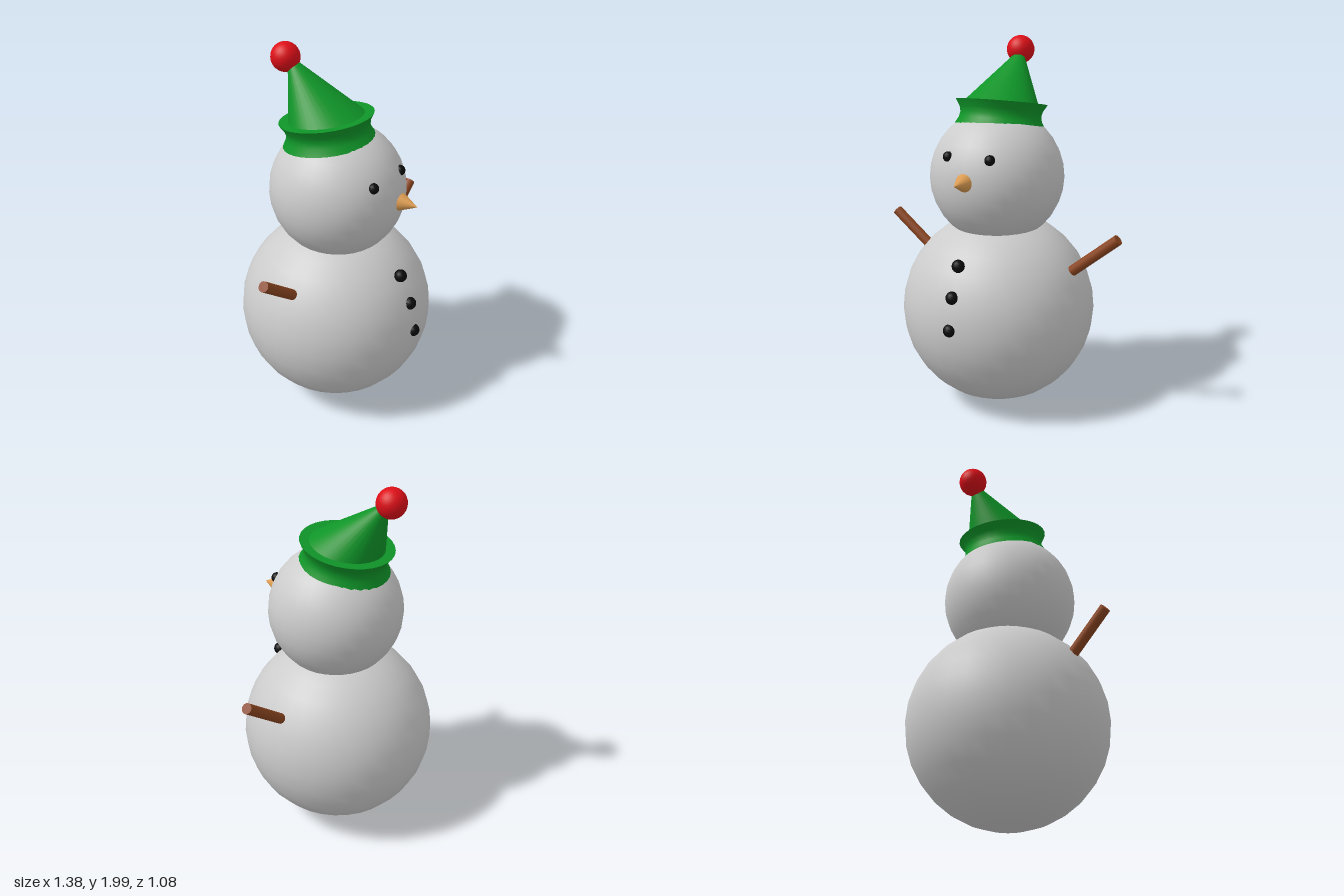
import * as THREE from 'three';

const material = (color) => new THREE.MeshStandardMaterial({ color });

export function createModel() {
  const snowman = new THREE.Group();
  snowman.name = 'snowman';

  const snow = material(0xcccccc);
  const coal = material(0x0a0a0a);
  const wood = material(0x8b4520);
  const carrot = material(0xdc9c52);
  const red = material(0xdd0f18);
  const green = material(0x0f9428);
  green.side = THREE.DoubleSide;

  function add(name, geometry, mat, position, parent = snowman) {
    const mesh = new THREE.Mesh(geometry, mat);
    mesh.name = name;
    mesh.position.set(...position);
    parent.add(mesh);
    return mesh;
  }
  const ball = (name, radius, mat, position, segments = 32) =>
    add(name, new THREE.SphereGeometry(radius, segments, segments / 2), mat, position);

  // Snowballs
  ball('body', 0.53, snow, [-0.03, 0.54, -0.01]);
  ball('head', 0.36, snow, [-0.03, 1.275, 0.005]);

  // Coal eyes and buttons
  ball('rightEye', 0.028, coal, [-0.15, 1.415, 0.307], 16);
  ball('leftEye', 0.028, coal, [0.09, 1.415, 0.307], 16);
  [[0.88, 0.415], [0.73, 0.48], [0.565, 0.51]].forEach(([y, z], i) =>
    ball(`button${i + 1}`, 0.034, coal, [-0.036, y, z], 16));

  // Carrot nose, pointing forward
  const nose = add('nose', new THREE.ConeGeometry(0.046, 0.095, 24), carrot, [-0.015, 1.306, 0.433]);
  nose.rotation.x = Math.PI / 2;

  // Stick arms
  function arm(name, from, to) {
    const a = new THREE.Vector3(...from);
    const b = new THREE.Vector3(...to);
    const mid = a.clone().add(b).multiplyScalar(0.5);
    const stick = add(name, new THREE.CylinderGeometry(0.028, 0.028, a.distanceTo(b), 16), wood, mid.toArray());
    stick.quaternion.setFromUnitVectors(new THREE.Vector3(0, 1, 0), b.sub(a).normalize());
  }
  arm('leftArm', [0.425, 0.812, 0.027], [0.672, 1.015, 0.027]);
  arm('rightArm', [-0.43, 0.818, 0.027], [-0.672, 1.015, 0.027]);

  // Hat, tipped backwards
  const hat = new THREE.Group();
  hat.name = 'hat';
  hat.position.set(-0.037, 1.535, -0.04);
  hat.rotation.x = -0.165;
  snowman.add(hat);

  // Pinched band, flared at both rims
  const band = [[0.242, 0], [0.222, 0.035], [0.216, 0.062], [0.222, 0.09], [0.245, 0.127]]
    .map(([r, y]) => new THREE.Vector2(r, y));
  add('hatBand', new THREE.LatheGeometry(band, 32), green, [0, 0, 0], hat);
  const top = add('hatTop', new THREE.CircleGeometry(0.245, 32), green, [0, 0.127, 0], hat);
  top.rotation.x = -Math.PI / 2;

  // Peak: a cone sheared so its tip leans to the back
  const height = 0.293;
  const peak = new THREE.CylinderGeometry(0.012, 0.195, height, 32, 1, true).translate(0, height / 2, 0);
  const p = peak.attributes.position;
  for (let i = 0; i < p.count; i++) p.setZ(i, p.getZ(i) - 0.178 * p.getY(i) / height);
  peak.computeVertexNormals();
  add('hatPeak', peak, green, [0, 0.127, 0], hat);

  // Bobble on the tip
  ball('bobble', 0.076, red, [-0.048, 1.924, -0.305]);

  return snowman;
}
